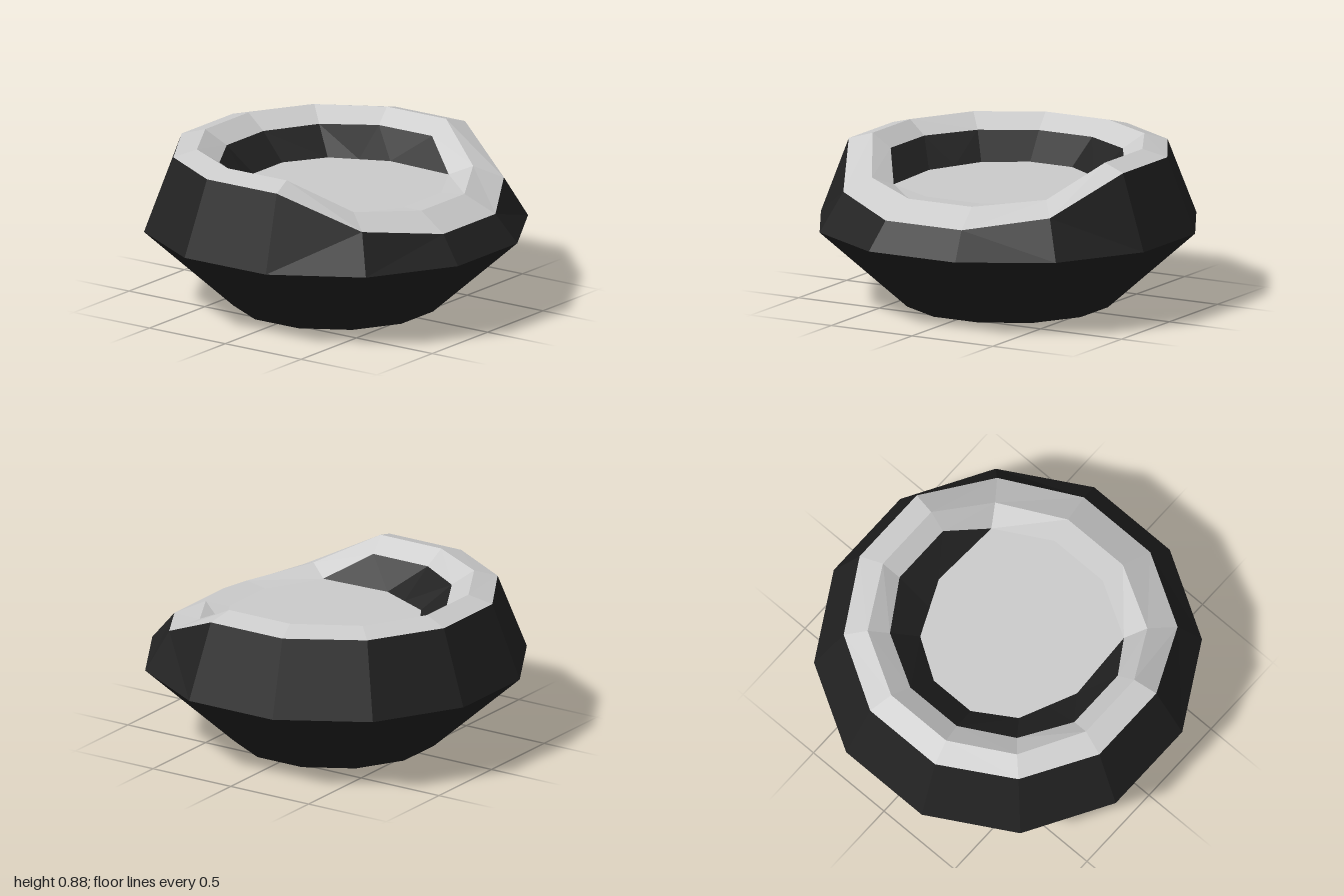
import * as THREE from 'three';

// Ring from six points on the +x side (back to front), mirrored to -x
function mirrorRing(half) {
  const right = half.map(p => new THREE.Vector3(...p));
  const left = half.map(([x, y, z]) => new THREE.Vector3(-x, y, z)).reverse();
  return [...right, ...left];
}

// Regular twelve-sided ring with flats of half-width w facing the axes
function regularRing(w, y) {
  const r = w / Math.cos(Math.PI / 12);
  return Array.from({ length: 12 }, (_, k) => {
    const a = Math.PI / 12 + k * Math.PI / 6;
    return new THREE.Vector3(r * Math.sin(a), y, -r * Math.cos(a));
  });
}

// Skin of quads through successive rings; the split of each quad is mirrored in x
function loft(rings, splitBack) {
  const points = [];
  for (let s = 0; s < rings.length - 1; s++) {
    const a = rings[s], b = rings[s + 1];
    for (let i = 0; i < a.length; i++) {
      const j = (i + 1) % a.length;
      if ((i < 6) === splitBack) points.push(a[i], b[i], a[j], b[i], b[j], a[j]);
      else points.push(a[i], b[i], b[j], a[i], b[j], a[j]);
    }
  }
  const geometry = new THREE.BufferGeometry().setFromPoints(points);
  geometry.computeVertexNormals();
  return geometry;
}

export function createModel() {
  const group = new THREE.Group();
  const material = color => new THREE.MeshStandardMaterial({ color, flatShading: true, side: THREE.DoubleSide });
  const dark = material(0x222222);
  const grey = material(0xcccccc);
  const add = (name, geometry, mat) => {
    const mesh = new THREE.Mesh(geometry, mat);
    mesh.name = name;
    group.add(mesh);
  };

  const floorY = 0.66;
  const rimOuter = mirrorRing([
    [0.23, 0.837, -0.85], [0.62, 0.837, -0.62], [0.85, 0.837, -0.23],
    [0.85, 0.837, 0.23], [0.64, 0.645, 0.64], [0.235, 0.58, 0.88]]);
  const rimTop = mirrorRing([
    [0.195, 0.875, -0.72], [0.53, 0.875, -0.53], [0.72, 0.875, -0.19],
    [0.72, 0.875, 0.2], [0.54, 0.71, 0.51], [0.195, 0.67, 0.705]]);
  const rimInner = mirrorRing([
    [0.165, 0.8, -0.6], [0.45, 0.8, -0.44], [0.62, 0.8, -0.17],
    [0.62, 0.8, 0.18], [0.47, floorY, 0.4], [0.17, floorY, 0.57]]);
  const floorEdge = mirrorRing([
    [0.13, floorY, -0.45], [0.35, floorY, -0.31], [0.42, floorY, -0.155],
    [0.49, floorY, 0], [0.47, floorY, 0.4], [0.17, floorY, 0.57]]);

  // Outer shell, open underneath
  add('outerShell', loft([regularRing(0.535, 0), regularRing(1, 0.43), rimOuter], false), dark);
  // Bevelled rim that dips at the front
  add('rim', loft([rimOuter, rimTop, rimInner], true), grey);
  // Wall of the hollow, running out where the rim meets the floor
  add('innerWall', loft([rimInner, floorEdge], false), dark);
  // Flat floor of the hollow
  const outline = new THREE.Shape(floorEdge.map(p => new THREE.Vector2(p.x, -p.z)));
  add('floor', new THREE.ShapeGeometry(outline).rotateX(-Math.PI / 2).translate(0, floorY, 0), grey);

  return group;
}
